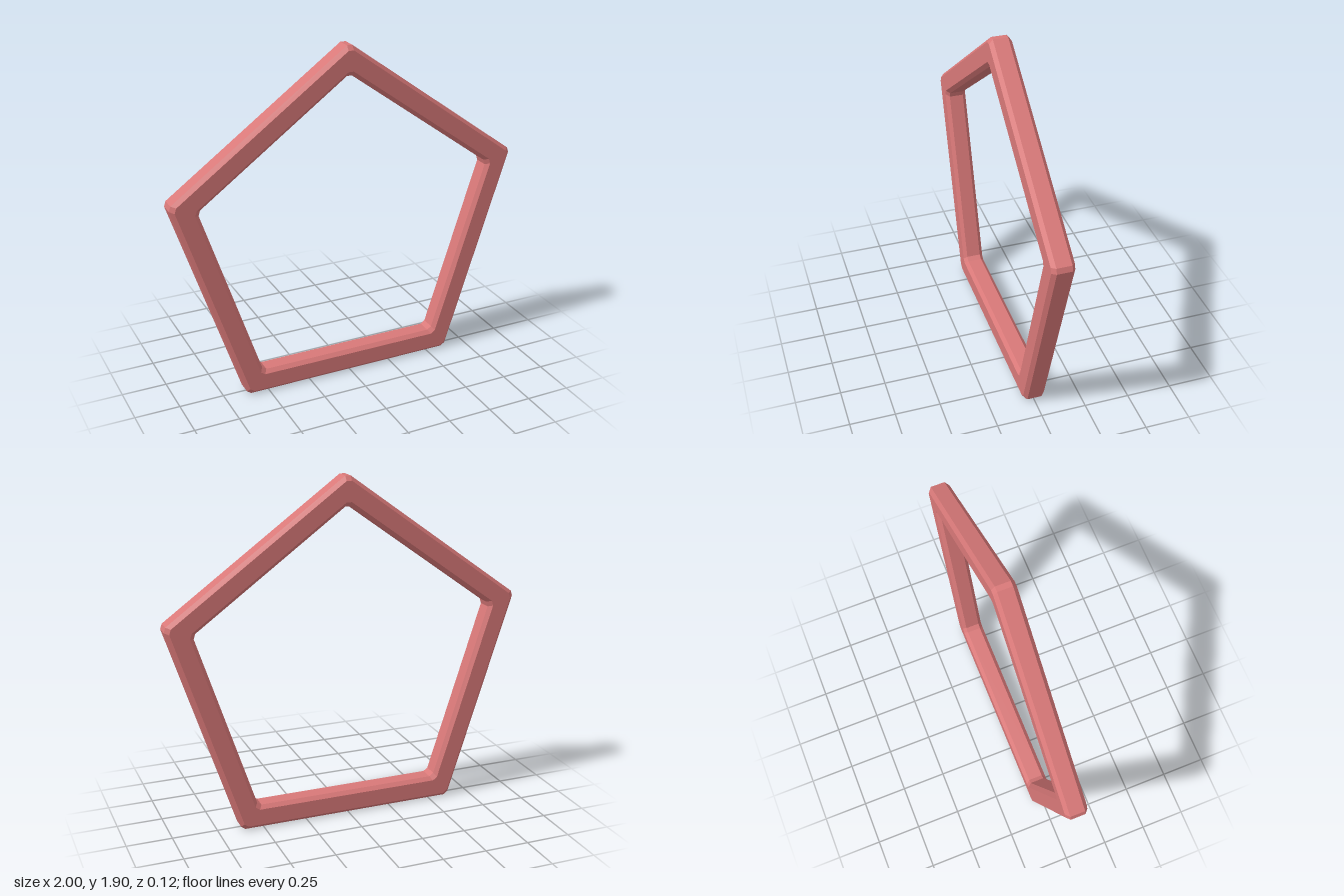
import * as THREE from 'three';

const SIDES = 5;
const CENTRE_Y = 0.855;
const CORNER_CUT = 0.0185; // length cut off each side at a corner

// Bevelled cross-section: [distance of the side from the centre, z]
const SECTION = [
  [0.855, -0.04], [0.855, 0.04], [0.835, 0.06], [0.745, 0.06],
  [0.725, 0.04], [0.725, -0.04], [0.745, -0.06], [0.835, -0.06],
];

// Counter-clockwise outline of a pentagon with clipped corners
function pentagon(apothem, z) {
  const half = apothem * Math.tan(Math.PI / SIDES) - CORNER_CUT;
  const points = [];
  for (let i = 0; i < SIDES; i++) {
    const angle = -Math.PI / 2 + (i * 2 * Math.PI) / SIDES;
    const c = Math.cos(angle), s = Math.sin(angle);
    for (const t of [-half, half]) {
      points.push([apothem * c - t * s, apothem * s + t * c, z]);
    }
  }
  return points;
}

// Joins the outlines of the cross-section's corners into a closed ring
function ringGeometry() {
  const loops = SECTION.map(([apothem, z]) => pentagon(apothem, z));
  const n = SIDES * 2;
  const index = [];
  loops.forEach((_, j) => {
    const k = (j + 1) % loops.length;
    for (let i = 0; i < n; i++) {
      const next = (i + 1) % n;
      const a = j * n + i, b = j * n + next, c = k * n + next, d = k * n + i;
      index.push(a, b, c, a, c, d);
    }
  });
  const indexed = new THREE.BufferGeometry();
  indexed.setAttribute('position', new THREE.Float32BufferAttribute(loops.flat(2), 3));
  indexed.setIndex(index);
  const geometry = indexed.toNonIndexed();
  geometry.computeVertexNormals();
  return geometry;
}

export function createModel() {
  const model = new THREE.Group();
  model.name = 'pentagonFrame';

  // Upright bevelled frame
  const material = new THREE.MeshStandardMaterial({ color: 0xd87878, flatShading: true });
  const frame = new THREE.Mesh(ringGeometry(), material);
  frame.name = 'frame';
  frame.position.y = CENTRE_Y;
  model.add(frame);

  return model;
}
